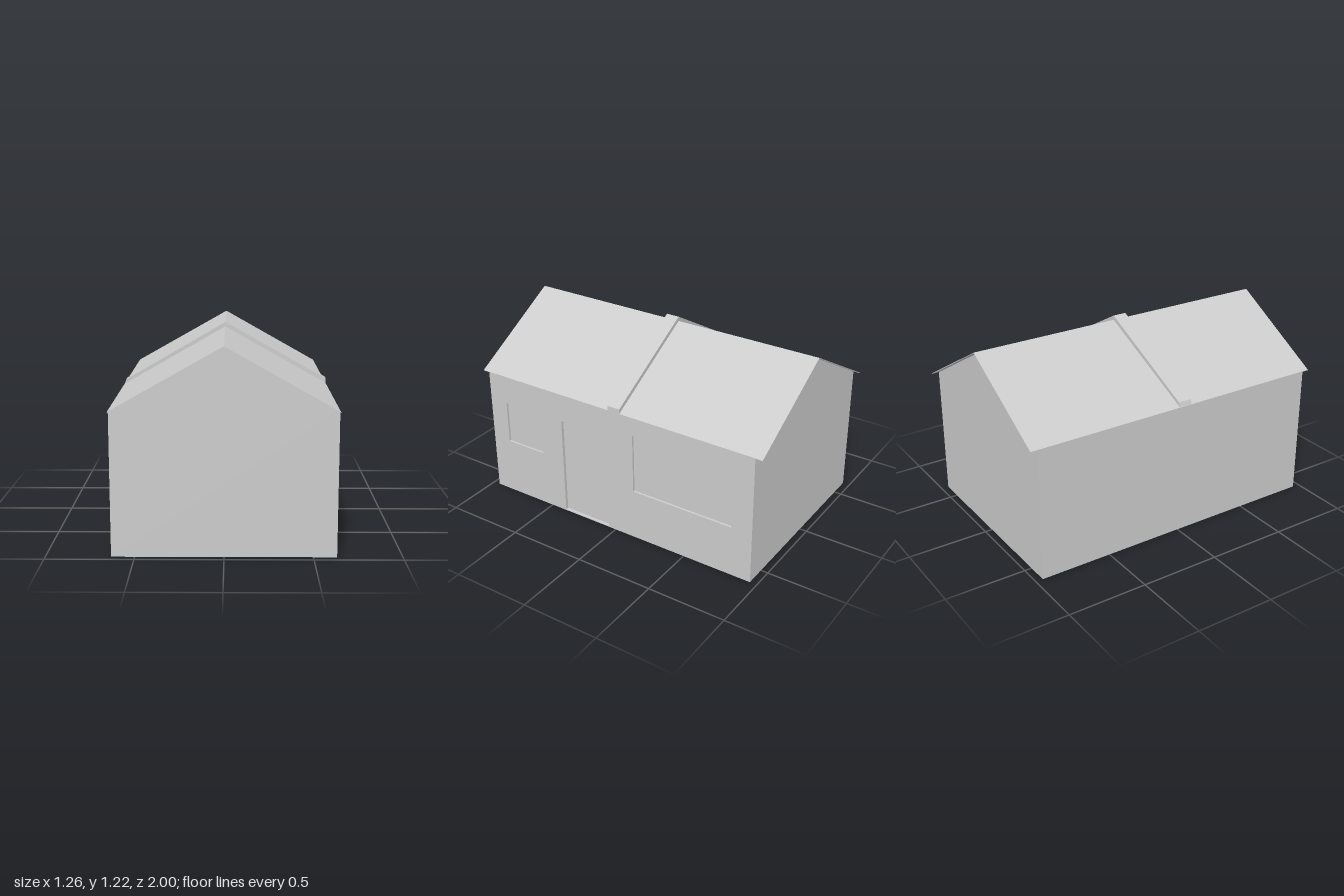
import * as THREE from 'three';

const W = 0.632;      // half width
const L = 0.955;      // half length of the walls
const EAVE = 0.83, RIDGE = 1.187;
const RECESS = 0.02;  // depth of the door opening

const material = new THREE.MeshStandardMaterial({ color: 0xcccccc, flatShading: true });

function outline(points) {
  return new THREE.Shape(points.map(([x, y]) => new THREE.Vector2(x, y)));
}

// Extrude an x/y profile along z, from z0 to z1
function prism(points, z0, z1) {
  const g = new THREE.ExtrudeGeometry(outline(points), { depth: z1 - z0, bevelEnabled: false });
  return g.translate(0, 0, z0);
}

export function createModel() {
  const group = new THREE.Group();
  const add = (name, geometry) => {
    const mesh = new THREE.Mesh(geometry, material);
    mesh.name = name;
    group.add(mesh);
    return mesh;
  };

  // Solid gabled body, stepped in on +x to take the wall with openings
  const inner = W - RECESS;
  add('houseBody', prism([
    [-W, 0], [inner, 0], [inner, EAVE], [W, EAVE], [0, RIDGE], [-W, EAVE],
  ], -L, L));

  // Openings in the +x wall: z range, y range and depth
  const openings = [
    { name: 'door', z: [0.05, 0.39], y: [0.006, 0.65], depth: RECESS },
    { name: 'largeWindow', z: [-0.82, -0.14], y: [0.33, 0.715], depth: 0.014 },
    { name: 'smallWindow', z: [0.55, 0.83], y: [0.37, 0.645], depth: 0.014 },
  ];

  // The wall shape is drawn with its x along -z, then turned
  const wall = outline([[-L, 0], [L, 0], [L, EAVE], [-L, EAVE]]);
  for (const { name, z, y, depth } of openings) {
    wall.holes.push(new THREE.Path([
      [-z[1], y[0]], [-z[1], y[1]], [-z[0], y[1]], [-z[0], y[0]],
    ].map(([a, b]) => new THREE.Vector2(a, b))));
    // Recessed panel filling the opening
    const panel = add(name, new THREE.BoxGeometry(0.02, y[1] - y[0], z[1] - z[0]));
    panel.position.set(W - depth - 0.01, (y[0] + y[1]) / 2, (z[0] + z[1]) / 2);
  }
  const wallGeometry = new THREE.ExtrudeGeometry(wall, { depth: RECESS, bevelEnabled: false });
  wallGeometry.rotateY(Math.PI / 2).translate(inner, 0, 0);
  add('doorWall', wallGeometry);

  // Thin roof sheet overhanging both gables
  const t = 0.004;
  add('roof', prism([
    [-W, EAVE], [0, RIDGE], [W, EAVE], [W, EAVE + t], [0, RIDGE + t], [-W, EAVE + t],
  ], -1, 1));

  // Raised strip over the roof; its -x half runs askew towards the front
  const strip = prism([
    [-W, EAVE], [0, RIDGE], [W, EAVE], [W, 0.863], [0, 1.219], [-0.62, 0.863],
  ], -0.052, 0.033);
  const p = strip.attributes.position;
  for (let i = 0; i < p.count; i++) {
    p.setZ(i, p.getZ(i) + Math.max(0, -p.getX(i)) * 0.076);
  }
  strip.computeVertexNormals();
  add('roofStrip', strip);

  return group;
}
